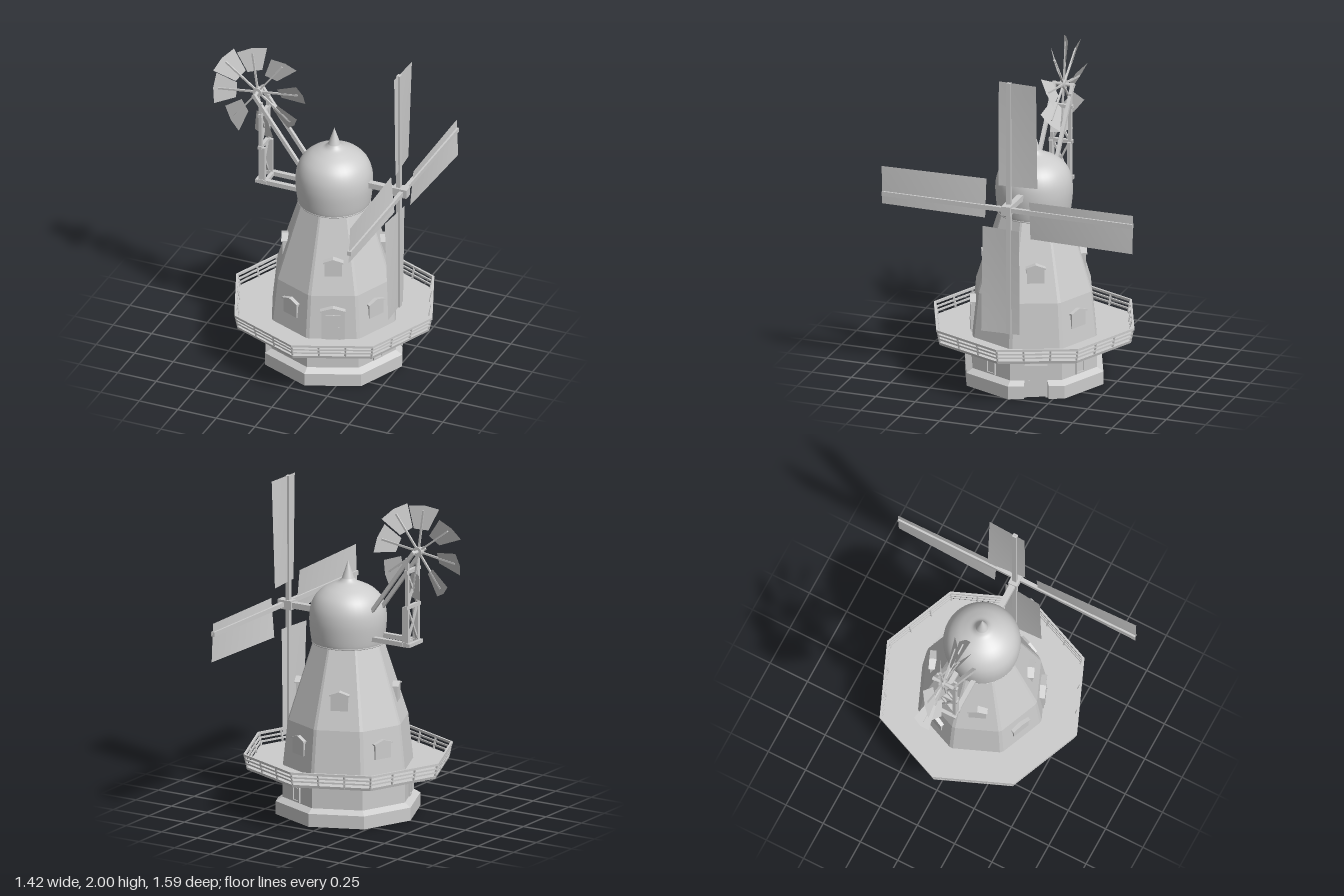
import * as THREE from 'three';

const AXIS = 0.075; // x of the tower's centre line
const grey = new THREE.MeshStandardMaterial({ color: 0xcccccc, side: THREE.DoubleSide });

function add(parent, name, geo, x = 0, y = 0, z = 0) {
  const m = new THREE.Mesh(geo, grey);
  m.name = name;
  m.position.set(x, y, z);
  parent.add(m);
  return m;
}
const box = (parent, name, w, h, d, x, y, z) => add(parent, name, new THREE.BoxGeometry(w, h, d), x, y, z);

// Square bar between two points
function bar(parent, name, a, b, w, d = w) {
  const p = new THREE.Vector3(...a), q = new THREE.Vector3(...b), dir = q.clone().sub(p);
  const m = add(parent, name, new THREE.BoxGeometry(w, dir.length(), d));
  m.position.copy(p).add(q).multiplyScalar(0.5);
  m.quaternion.setFromUnitVectors(new THREE.Vector3(0, 1, 0), dir.normalize());
  return m;
}

// Point on an octagon of radius r; u counts corners, fractions run along a side
function oct(u, r, y) {
  const k = Math.floor(u), t = u - k, a = k * Math.PI / 4, b = a + Math.PI / 4;
  return [r * (Math.cos(a) * (1 - t) + Math.cos(b) * t), y, r * (Math.sin(a) * (1 - t) + Math.sin(b) * t)];
}

// Flat-sided band: a [radius, y] profile carried along the octagon stops
function band(profile, stops, capped = false) {
  const pos = [];
  const tri = (...pts) => pts.forEach(p => pos.push(...p));
  for (let i = 0; i < stops.length - 1; i++) {
    for (let j = 0; j < profile.length - 1; j++) {
      const [u, v] = [stops[i], stops[i + 1]];
      const a = oct(u, ...profile[j]), b = oct(u, ...profile[j + 1]);
      const c = oct(v, ...profile[j + 1]), d = oct(v, ...profile[j]);
      tri(a, b, c);
      tri(a, c, d);
    }
  }
  if (capped) {
    for (const u of [stops[0], stops[stops.length - 1]]) {
      for (let j = 1; j < profile.length - 1; j++) {
        tri(oct(u, ...profile[0]), oct(u, ...profile[j]), oct(u, ...profile[j + 1]));
      }
    }
  }
  const g = new THREE.BufferGeometry();
  g.setAttribute('position', new THREE.Float32BufferAttribute(pos, 3));
  g.computeVertexNormals();
  return g;
}
const corners = [0, 1, 2, 3, 4, 5, 6, 7, 8];

// Group on side k of the tower, local +z pointing outward
function onSide(parent, name, k, y, apothem) {
  const a = (k + 0.5) * Math.PI / 4, g = new THREE.Group();
  g.name = name;
  g.position.set(apothem * Math.cos(a), y, apothem * Math.sin(a));
  g.rotation.y = Math.PI / 2 - a;
  parent.add(g);
  return g;
}

const extrude = (pts, depth) => new THREE.ExtrudeGeometry(
  new THREE.Shape(pts.map(p => new THREE.Vector2(...p))), { depth, bevelEnabled: false });

// Dormer with a low gabled hood, its front upright against the sloping wall
function dormer(g, w, h, depth) {
  const s = w / 2, e = h - 0.022;
  add(g, 'dormerBody', extrude([[-s, 0], [s, 0], [s, e], [0, h - 0.005], [-s, e]], depth), 0, 0, -depth);
  const o = s + 0.008;
  add(g, 'dormerHood', extrude([[-o, e - 0.006], [0, h - 0.008], [o, e - 0.006], [o, e + 0.003], [0, h + 0.002], [-o, e + 0.003]],
    depth + 0.008), 0, 0, -depth);
}

// Arched ground-floor window: raised frame around a pane
function archWindow(g, w, h) {
  const arch = (r, y0) => {
    const p = new THREE.Path();
    p.moveTo(-r, y0).lineTo(r, y0).lineTo(r, h - w / 2);
    p.absarc(0, h - w / 2, r, 0, Math.PI, false);
    return p;
  };
  const shape = new THREE.Shape(arch(w / 2, 0).getPoints(8));
  shape.holes.push(arch(w / 2 - 0.01, 0.01));
  add(g, 'windowFrame', new THREE.ExtrudeGeometry(shape, { depth: 0.014, bevelEnabled: false }), 0, 0, -0.004);
  box(g, 'windowPane', w - 0.02, h - w / 2, 0.006, 0, (h - w / 2) / 2 + 0.005, 0);
}

function buildTower(root) {
  const t = new THREE.Group();
  t.name = 'tower';
  t.position.x = AXIS;
  root.add(t);

  // Plinth, interrupted at the ground door
  add(t, 'plinth', band([[0.4, 0], [0.44, 0], [0.44, 0.08], [0.4, 0.105]],
    [7.72, 8, 9, 10, 11, 12, 13, 14, 15, 15.28], true));
  add(t, 'lowerWall', band([[0.4, 0], [0.4, 0.3]], corners));

  // Upper body with narrow bevelled corners
  const bevelled = [];
  for (let k = 0; k <= 8; k++) bevelled.push(k + 0.04, k + 0.96);
  add(t, 'upperWall', band([[0.4, 0.29], [0.368, 0.58], [0.216, 1.05]], bevelled.slice(0, -1)));

  // Gallery deck and flared railing
  add(t, 'deck', band([[0.37, 0.29], [0.615, 0.285], [0.62, 0.302], [0.37, 0.302], [0.37, 0.29]], corners));
  for (const [r, y, s] of [[0.63, 0.375, 0.007], [0.624, 0.348, 0.005], [0.619, 0.324, 0.005]]) {
    add(t, 'rail', band([[r - s, y - s], [r + s, y - s], [r + s, y + s], [r - s, y + s], [r - s, y - s]], corners));
  }
  for (let i = 0; i < 24; i++) bar(t, 'railPost', oct(i / 3, 0.61, 0.29), oct(i / 3, 0.628, 0.375), 0.01);

  // Windows alternate between the two storeys
  for (const k of [0, 2, 4, 6]) dormer(onSide(t, 'galleryWindow', k, 0.4, 0.364), 0.115, 0.115, 0.05);
  for (const k of [1, 3, 5, 7]) dormer(onSide(t, 'upperWindow', k, 0.69, 0.306), 0.105, 0.12, 0.06);
  for (const k of [0, 3, 6]) archWindow(onSide(t, 'groundWindow', k, 0.11, 0.3696), 0.072, 0.115);

  // Gallery door
  const gd = onSide(t, 'galleryDoor', 1, 0.3, 0.374);
  dormer(gd, 0.135, 0.215, 0.045);
  box(gd, 'doorLeaf', 0.09, 0.165, 0.008, 0, 0.085, 0.002);
  box(gd, 'doorHandle', 0.008, 0.02, 0.012, 0.035, 0.08, 0.008);

  // Ground door
  const door = onSide(t, 'groundDoor', 7, 0, 0.3696);
  box(door, 'doorLeaf', 0.115, 0.19, 0.01, 0, 0.1, 0);
  for (const s of [-1, 1]) box(door, 'doorJamb', 0.012, 0.2, 0.02, s * 0.062, 0.1, 0.003);
  box(door, 'doorLintel', 0.136, 0.012, 0.02, 0, 0.198, 0.003);
  box(door, 'doorHandle', 0.01, 0.02, 0.014, -0.04, 0.1, 0.01);

  // Onion cap with finial
  const dome = [[0.205, 1.04], [0.217, 1.05], [0.228, 1.13], [0.231, 1.2], [0.222, 1.265], [0.196, 1.322],
    [0.152, 1.365], [0.1, 1.393], [0.057, 1.412], [0.036, 1.435]].map(p => new THREE.Vector2(...p));
  const curve = new THREE.SplineCurve(dome).getPoints(36);
  add(t, 'cap', new THREE.LatheGeometry([...curve, new THREE.Vector2(0.0005, 1.54)], 40));
  const rim = add(t, 'capRim', new THREE.TorusGeometry(0.214, 0.005, 6, 40), 0, 1.046, 0);
  rim.rotation.x = Math.PI / 2;
}

function buildSails(root) {
  const g = new THREE.Group();
  g.name = 'sails';
  g.position.y = 1.205;
  root.add(g);
  bar(g, 'windshaft', [0.27, 0, 0], [0.47, 0, 0], 0.036);
  bar(g, 'shaftHead', [0.46, 0, 0], [0.555, 0, 0], 0.056);
  box(g, 'verticalStock', 0.024, 1.59, 0.028, 0.495, 0, 0);
  box(g, 'horizontalStock', 0.024, 0.028, 1.59, 0.521, 0, 0);

  // Four gently twisted sails, wide on the trailing side
  for (let i = 0; i < 4; i++) {
    const geo = new THREE.PlaneGeometry(0.24, 0.657, 6, 10);
    geo.rotateY(Math.PI / 2);
    geo.translate(0, 0.468, -0.054);
    const p = geo.attributes.position;
    for (let v = 0; v < p.count; v++) {
      const t = (p.getY(v) - 0.14) / 0.657;
      p.setX(v, p.getZ(v) * (0.09 - 0.13 * t));
    }
    geo.computeVertexNormals();
    add(g, 'sail', geo, i % 2 ? 0.521 : 0.495, 0, 0).rotation.x = i * Math.PI / 2;
  }
}

function buildFantail(root) {
  const g = new THREE.Group();
  g.name = 'fantail';
  root.add(g);

  // Stage, posts and struts on both sides
  for (const z of [-0.057, 0.057]) {
    bar(g, 'stageBeam', [-0.39, 1.1, z], [-0.08, 1.1, z], 0.028);
    bar(g, 'post', [-0.378, 1.09, z], [-0.378, 1.635, z], 0.02);
    bar(g, 'shortPost', [-0.358, 1.1, z], [-0.358, 1.33, z], 0.02);
    bar(g, 'strut', [-0.425, 1.68, z], [-0.09, 1.215, z], 0.022);
  }
  for (const [x, y] of [[-0.395, 1.1], [-0.345, 1.1], [-0.378, 1.33], [-0.378, 1.55]]) {
    box(g, 'crossBeam', 0.022, 0.022, 0.15, x, y, 0);
  }
  for (const s of [-1, 1]) {
    bar(g, 'brace', [-0.378, 1.11, -0.055 * s], [-0.378, 1.33, 0.055 * s], 0.012);
    bar(g, 'brace', [-0.378, 1.33, -0.055 * s], [-0.378, 1.54, 0.055 * s], 0.012);
  }

  // Eight-bladed fan on its axle
  const fan = new THREE.Group();
  fan.name = 'fan';
  fan.position.set(-0.42, 1.67, 0);
  g.add(fan);
  add(fan, 'axle', new THREE.CylinderGeometry(0.012, 0.012, 0.14, 10)).rotation.x = Math.PI / 2;
  add(fan, 'hub', new THREE.CylinderGeometry(0.03, 0.03, 0.03, 12)).rotation.x = Math.PI / 2;
  const blade = new THREE.ShapeGeometry(new THREE.Shape(
    [[-0.044, 0.14], [0.044, 0.14], [0.091, 0.28], [0, 0.294], [-0.091, 0.28]].map(p => new THREE.Vector2(...p))));
  for (let i = 0; i < 8; i++) {
    const arm = new THREE.Group();
    arm.name = 'fanArm';
    arm.rotation.z = i * Math.PI / 4 + 0.14;
    fan.add(arm);
    box(arm, 'spoke', 0.011, 0.26, 0.011, 0, 0.13, 0);
    add(arm, 'blade', blade).rotation.y = 0.5;
  }
}

export function createModel() {
  const root = new THREE.Group();
  root.name = 'windmill';
  buildTower(root);
  buildSails(root);
  buildFantail(root);
  return root;
}
